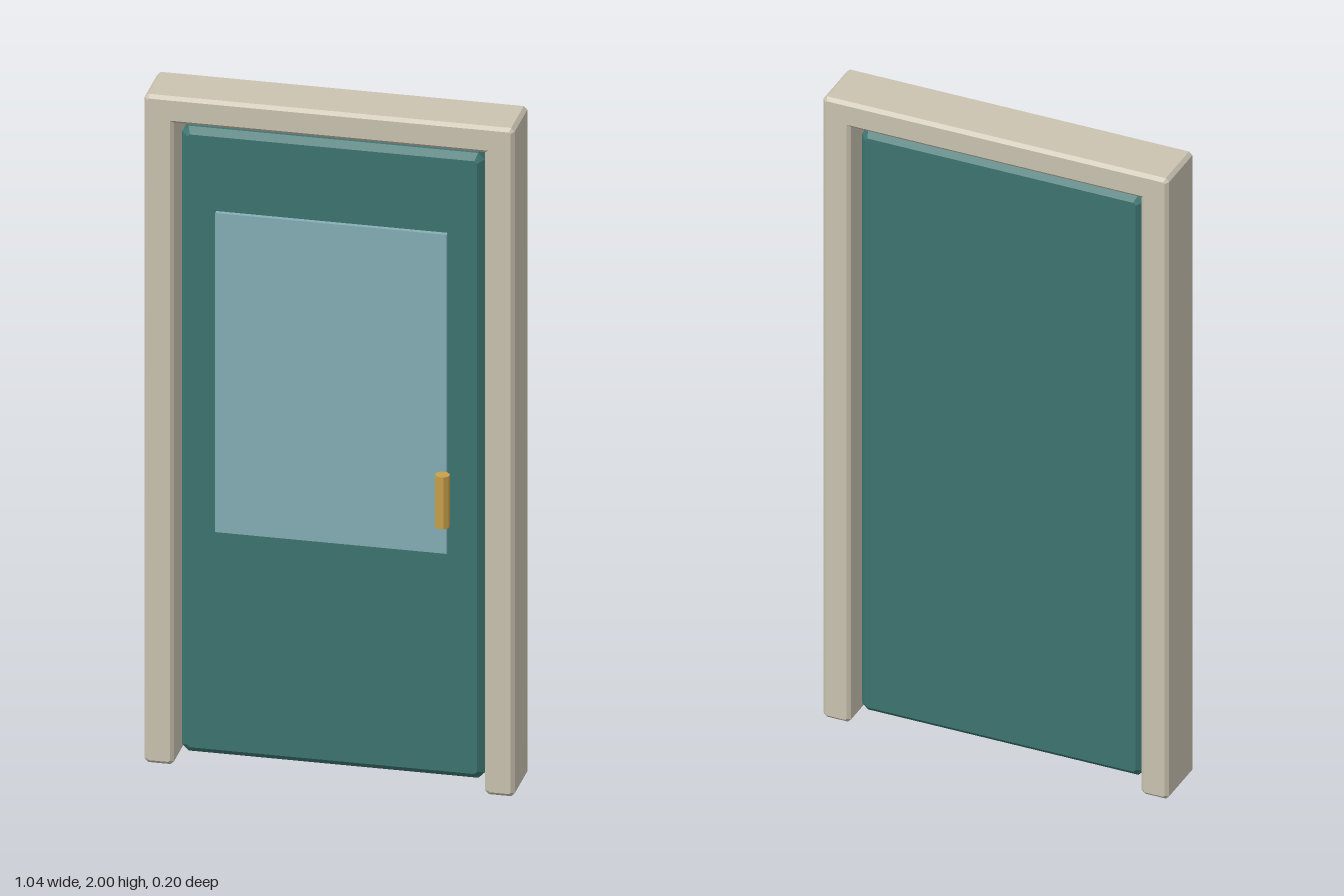
import * as THREE from 'three';

const material = (name, color) => {
  const m = new THREE.MeshStandardMaterial({ color });
  m.name = name;
  return m;
};

// Extrudes an outline from zBack to zFront, chamfering the front and back edges inwards
function chamferedSlab(points, zBack, zFront, bevel) {
  const shape = new THREE.Shape(points.map(([x, y]) => new THREE.Vector2(x, y)));
  const geometry = new THREE.ExtrudeGeometry(shape, {
    depth: zFront - zBack - 2 * bevel,
    bevelThickness: bevel,
    bevelSize: bevel,
    bevelOffset: -bevel,
    bevelSegments: 1,
  });
  return geometry.translate(0, 0, zBack + bevel);
}

// Completes an outline from its right half, listed bottom to top
const mirrored = (half) => [...half, ...half.map(([x, y]) => [-x, y]).reverse()];

export function createModel() {
  const group = new THREE.Group();
  const frameBeige = material('frame beige', 0xcac3b1);
  const doorTeal = material('door teal', 0x3c7470);
  const paneBlue = material('pane blue', 0x85aeb6);
  const handleBrass = material('handle brass', 0xc9a04a);

  const add = (name, geometry, mat) => {
    const mesh = new THREE.Mesh(geometry, mat);
    mesh.name = name;
    group.add(mesh);
    return mesh;
  };

  // Frame: two posts and a header in one outline with cut corners
  const c = 0.01;
  const frameHalf = [
    [0.437, 1.92], [0.437, c], [0.437 + c, 0], [0.52 - c, 0],
    [0.52, c], [0.52, 2 - c], [0.52 - c, 2],
  ];
  add('doorFrame', chamferedSlab(mirrored(frameHalf), -0.1, 0.072, c), frameBeige);

  // Door leaf
  const d = 0.018;
  const doorHalf = [
    [0.425 - d, 0.025], [0.425, 0.025 + d], [0.425, 1.895 - d], [0.425 - d, 1.895],
  ];
  add('doorLeaf', chamferedSlab(mirrored(doorHalf), -0.064, 0.034, d), doorTeal);

  // Raised window pane on the front
  add('windowPane', new THREE.BoxGeometry(0.65, 0.955, 0.02), paneBlue)
    .position.set(0, 1.178, 0.038);

  // Upright octagonal handle
  const handle = new THREE.CylinderGeometry(0.021, 0.021, 0.155, 8).toNonIndexed();
  handle.rotateY(Math.PI / 8);
  handle.computeVertexNormals();
  add('handle', handle, handleBrass).position.set(0.32, 0.872, 0.076);

  return group;
}
